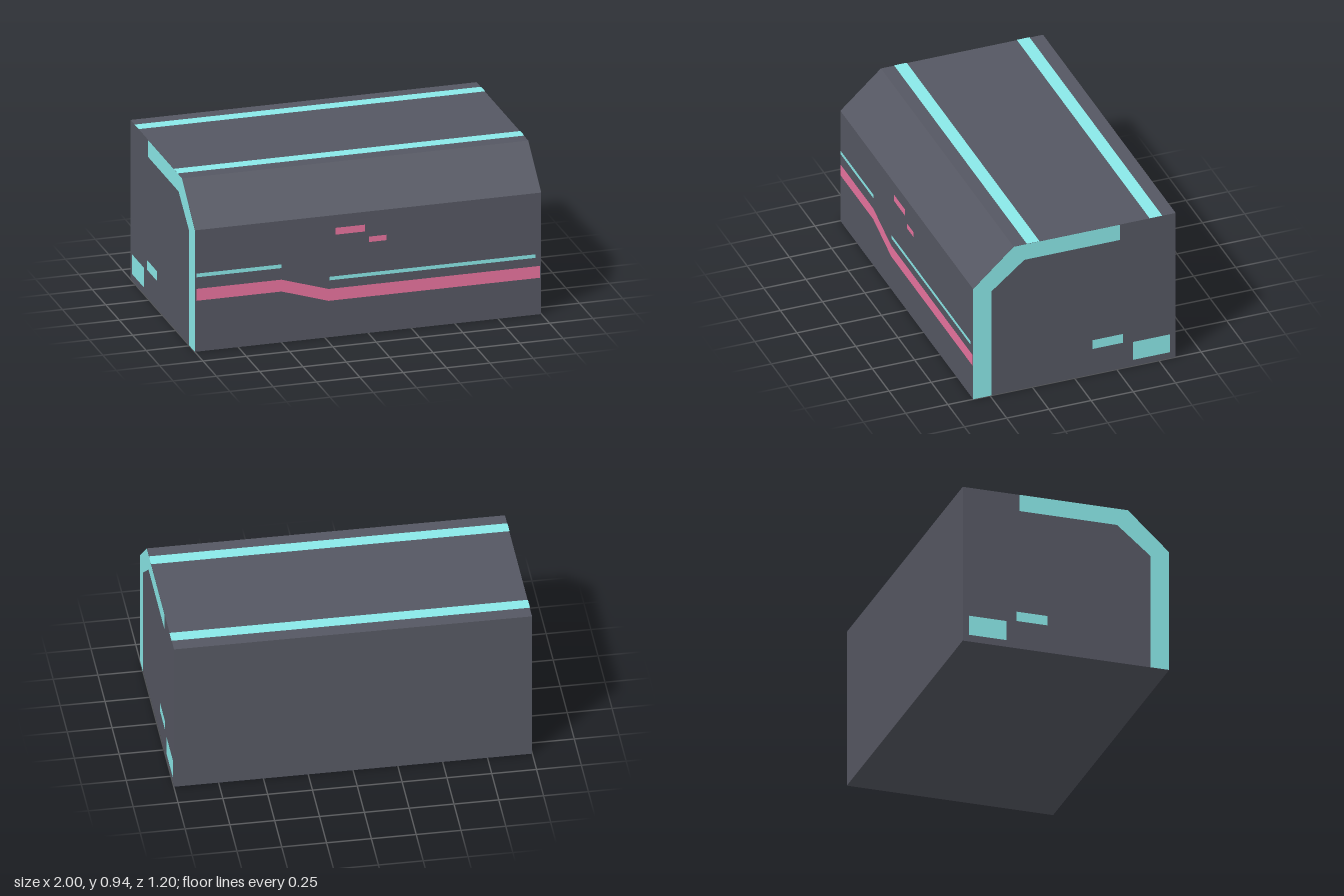
import * as THREE from 'three';

const shell = new THREE.MeshStandardMaterial({ color: 0x555762 });
const cyan = new THREE.MeshStandardMaterial({ color: 0x8ae8e8 });
const pink = new THREE.MeshStandardMaterial({ color: 0xe8739e });
const LIFT = 0.0015; // markings sit just clear of the shell

const shapeOf = (points) => new THREE.Shape(points.map(([x, y]) => new THREE.Vector2(x, y)));
const rect = (x0, x1, y0, y1) => [[x0, y0], [x1, y0], [x1, y1], [x0, y1]];

export function createModel() {
  const model = new THREE.Group();
  const add = (parent, name, geometry, material) => {
    const mesh = new THREE.Mesh(geometry, material);
    mesh.name = name;
    parent.add(mesh);
    return mesh;
  };
  const marking = (parent, name, points, material) =>
    add(parent, name, new THREE.ShapeGeometry(shapeOf(points)), material);

  // Body: side profile with a chamfered upper front edge, extruded along x
  const length = 2 - 2 * LIFT;
  const profile = [[-0.6, 0], [0.6, 0], [0.6, 0.935], [-0.36, 0.935], [-0.6, 0.715]];
  const body = new THREE.ExtrudeGeometry(shapeOf(profile), { depth: length, bevelEnabled: false });
  body.translate(0, 0, -length / 2).rotateY(Math.PI / 2);
  add(model, 'body', body, shell);

  // Front markings
  const front = new THREE.Group();
  front.name = 'frontMarkings';
  front.position.z = 0.6 + LIFT;
  marking(front, 'steppedBand', [
    [-0.99, 0.3], [-0.5, 0.3], [-0.23, 0.215], [0.99, 0.215],
    [0.99, 0.285], [-0.23, 0.285], [-0.5, 0.37], [-0.99, 0.37],
  ], pink);
  marking(front, 'upperDash', rect(-0.19, -0.02, 0.6, 0.64), pink);
  marking(front, 'lowerDash', rect(0.005, 0.105, 0.535, 0.567), pink);
  marking(front, 'shortLine', rect(-0.99, -0.5, 0.438, 0.46), cyan);
  marking(front, 'longLine', rect(-0.225, 0.965, 0.335, 0.356), cyan);
  model.add(front);

  // Matching markings on both ends, points given as (z, y)
  const edgeBand = [
    [0.6, 0], [0.6, 0.715], [0.36, 0.935], [-0.27, 0.935],
    [-0.27, 0.836], [0.297, 0.836], [0.49, 0.677], [0.49, 0],
  ];
  for (const side of [1, -1]) {
    const end = new THREE.Group();
    end.name = side > 0 ? 'leftEndMarkings' : 'rightEndMarkings';
    end.position.x = side;
    end.rotation.y = side * Math.PI / 2;
    const onEnd = (points) => points.map(([z, y]) => [-side * z, y]);
    marking(end, 'edgeBand', onEnd(edgeBand), cyan);
    marking(end, 'smallPanel', onEnd(rect(-0.288, -0.107, 0.165, 0.222)), cyan);
    marking(end, 'largePanel', onEnd(rect(-0.565, -0.345, 0.04, 0.156)), cyan);
    model.add(end);
  }

  // Stripes running along the roof
  for (const [name, z0, z1] of [['rearRoofStripe', -0.52, -0.445], ['frontRoofStripe', 0.207, 0.282]]) {
    const stripe = marking(model, name, rect(-1, 1, -z1, -z0), cyan);
    stripe.rotation.x = -Math.PI / 2;
    stripe.position.y = 0.935 + LIFT;
  }
  return model;
}
